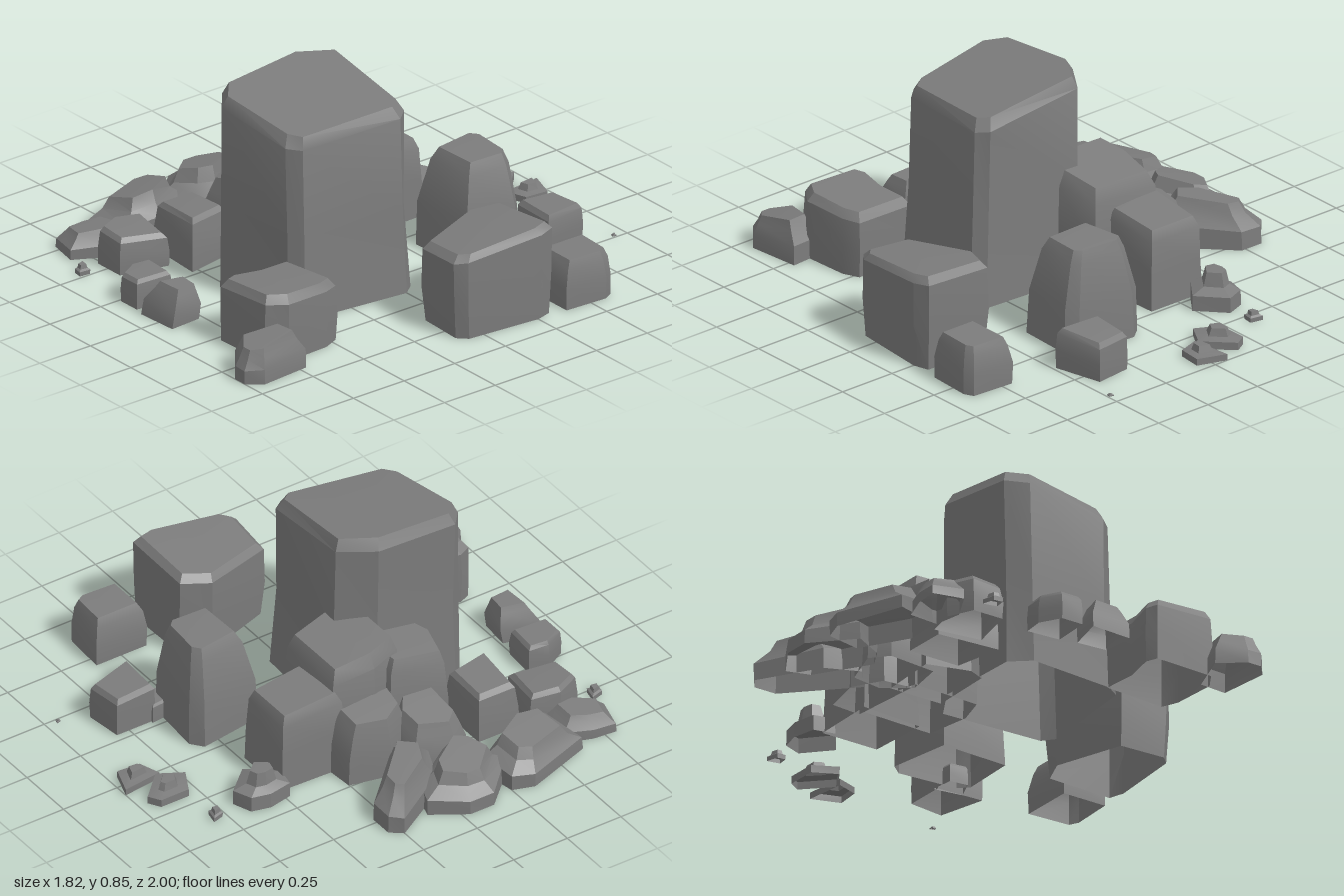
import * as THREE from 'three';
import { toCreasedNormals } from 'three/addons/utils/BufferGeometryUtils.js';

// A rock is a footprint outline lofted upward through four rings and capped.
// outline: clockwise [x, z] corners seen from above
// height at the middle, slope: rise of the top per unit x and z
// base, waist, topScale: ring sizes, shoulder: where the bevel starts (0..1)
function rockGeometry(outline, height, { slope = [0, 0], base = 0.97, waist = 0.99, topScale = 0.82, shoulder = 0.87, lean = [0, 0] } = {}) {
  const n = outline.length;
  const cx = outline.reduce((s, p) => s + p[0], 0) / n;
  const cz = outline.reduce((s, p) => s + p[1], 0) / n;
  const upper = Math.min(waist, topScale + 0.13);
  const levels = [[0, base], [0.45, waist], [shoulder, upper], [1, topScale]];
  const rings = levels.map(([t, s], k) => outline.map(([x, z], i) => {
    const wobble = k === 1 || k === 2 ? 0.015 * Math.sin(i * 2.4 + k * 1.7 + cx * 9) : 0;
    const px = cx + (x - cx) * (s + wobble) + lean[0] * t;
    const pz = cz + (z - cz) * (s + wobble) + lean[1] * t;
    const top = height + slope[0] * (px - cx) + slope[1] * (pz - cz);
    return [px, Math.max(0, top * t), pz];
  }));
  const pos = [];
  const tri = (a, b, c) => pos.push(...a, ...b, ...c);
  for (let k = 0; k < 3; k++) {
    for (let i = 0; i < n; i++) {
      const j = (i + 1) % n;
      const [a, b, c, d] = [rings[k][i], rings[k][j], rings[k + 1][j], rings[k + 1][i]];
      tri(a, d, c);
      tri(a, c, b);
    }
  }
  const peak = [cx + lean[0], height * 1.01, cz + lean[1]];
  for (let i = 0; i < n; i++) tri(peak, rings[3][(i + 1) % n], rings[3][i]);
  const geo = new THREE.BufferGeometry();
  geo.setAttribute('position', new THREE.Float32BufferAttribute(pos, 3));
  return toCreasedNormals(geo, 0.4);
}

export function createModel() {
  const group = new THREE.Group();
  group.name = 'rockPile';
  const stone = new THREE.MeshStandardMaterial({ color: 0x7c7c7c, side: THREE.DoubleSide });
  stone.name = 'grey stone';

  const rock = (name, height, outline, options) => {
    const mesh = new THREE.Mesh(rockGeometry(outline, height, options), stone);
    mesh.name = name;
    group.add(mesh);
  };

  // Central monolith, flared a little at its foot
  rock('monolith', 0.8, [[-0.1, -0.07], [0.35, -0.05], [0.39, 0], [0.34, 0.46], [0.28, 0.5], [-0.1, 0.53], [-0.18, 0.46], [-0.19, 0.08]],
    { slope: [-0.14, -0.08], base: 1, waist: 0.96, topScale: 0.88, shoulder: 0.94, lean: [-0.02, 0] });

  // Large rocks to the left and behind
  rock('leftBoulder', 0.365, [[0.57, -0.32], [0.88, -0.33], [0.9, -0.26], [0.87, 0.08], [0.83, 0.12], [0.62, 0.11], [0.52, -0.2]],
    { slope: [0.07, -0.1], base: 0.94, topScale: 0.87, shoulder: 0.92 });
  rock('leftBackRock', 0.2, [[0.7, -0.62], [0.89, -0.61], [0.91, -0.57], [0.9, -0.38], [0.7, -0.38]], { topScale: 0.75, shoulder: 0.82 });
  rock('backBoulder', 0.415, [[0.08, -0.61], [0.34, -0.59], [0.38, -0.55], [0.37, -0.31], [0.07, -0.3], [0.03, -0.57]],
    { base: 1, topScale: 0.62, shoulder: 0.88, waist: 0.97 });
  rock('backCornerRock', 0.165, [[0.28, -0.81], [0.44, -0.83], [0.49, -0.62], [0.28, -0.63]], { topScale: 0.82, slope: [0, 0.08] });
  rock('backWedge', 0.08, [[0.27, -0.65], [0.4, -0.63], [0.36, -0.54], [0.28, -0.55]]);

  // Front rocks
  rock('frontBoulder', 0.265, [[0.27, 0.49], [0.55, 0.47], [0.58, 0.54], [0.59, 0.74], [0.54, 0.82], [0.27, 0.83], [0.25, 0.78], [0.28, 0.64]],
    { slope: [0.06, 0.04], topScale: 0.84 });
  rock('frontCornerRock', 0.145, [[0.55, 0.73], [0.67, 0.72], [0.69, 0.94], [0.64, 1], [0.58, 1], [0.48, 0.92]],
    { base: 1, topScale: 0.68, shoulder: 0.75, slope: [0, -0.2] });
  rock('frontStoneA', 0.12, [[-0.28, 0.73], [-0.13, 0.74], [-0.14, 0.91], [-0.24, 0.91], [-0.29, 0.82]], { topScale: 0.8 });
  rock('frontStoneB', 0.145, [[-0.06, 0.76], [0.07, 0.77], [0.08, 0.91], [-0.1, 0.92]],
    { base: 1, topScale: 0.58, shoulder: 0.83, lean: [0.01, -0.02] });

  // Stacked rocks leaning on the monolith
  rock('stackTop', 0.465, [[-0.36, -0.24], [-0.03, -0.25], [0, -0.05], [-0.04, 0.08], [-0.35, 0.09], [-0.38, -0.05]],
    { slope: [0.04, 0.17], topScale: 0.8 });
  rock('stackBack', 0.34, [[-0.37, -0.48], [-0.12, -0.48], [-0.11, -0.22], [-0.38, -0.2]], { base: 1.03, topScale: 0.82, slope: [0, 0.1] });
  rock('stackFront', 0.395, [[-0.4, 0], [-0.16, 0], [-0.17, 0.28], [-0.24, 0.31], [-0.42, 0.26]],
    { base: 1, topScale: 0.78, slope: [0.05, -0.15] });
  rock('stackSide', 0.27, [[-0.49, -0.25], [-0.36, -0.26], [-0.34, 0.05], [-0.46, 0.04], [-0.53, -0.08]],
    { base: 1.02, topScale: 0.72, shoulder: 0.8, slope: [0.2, 0] });
  rock('stackFoot', 0.22, [[-0.57, 0], [-0.44, -0.02], [-0.33, 0.06], [-0.36, 0.22], [-0.57, 0.24], [-0.63, 0.17]],
    { base: 1.02, topScale: 0.68, shoulder: 0.78, slope: [0.25, 0] });

  // Low slabs spreading out on the right side
  rock('slabBack', 0.185, [[-0.87, -0.25], [-0.83, -0.3], [-0.73, -0.3], [-0.49, -0.05], [-0.58, 0.06], [-0.72, 0]],
    { base: 1, topScale: 0.56, shoulder: 0.75, slope: [0.13, 0.05] });
  rock('slabMiddle', 0.165, [[-0.82, -0.11], [-0.72, -0.08], [-0.58, 0.14], [-0.63, 0.23], [-0.76, 0.3], [-0.91, 0.14], [-0.91, 0.03]],
    { base: 1, topScale: 0.55, shoulder: 0.68, slope: [0.25, 0] });
  rock('slabFront', 0.155, [[-0.87, 0.25], [-0.72, 0.22], [-0.6, 0.42], [-0.61, 0.58], [-0.8, 0.63], [-0.9, 0.34]],
    { base: 1, topScale: 0.58, shoulder: 0.7, slope: [0.22, -0.1] });
  rock('blockInner', 0.205, [[-0.54, 0.32], [-0.31, 0.32], [-0.27, 0.53], [-0.54, 0.51]], { base: 1, topScale: 0.74, shoulder: 0.9, slope: [0.05, 0] });
  rock('blockOuter', 0.15, [[-0.58, 0.53], [-0.37, 0.56], [-0.42, 0.77], [-0.56, 0.77], [-0.61, 0.66]], { topScale: 0.78, slope: [-0.08, 0.05] });
  rock('cornerSlab', 0.1, [[-0.73, 0.59], [-0.6, 0.58], [-0.58, 0.7], [-0.65, 0.83], [-0.78, 0.8], [-0.77, 0.7]],
    { base: 1, topScale: 0.62, shoulder: 0.78, slope: [0.1, -0.1] });

  // Scattered back stones and pebbles
  rock('rearStone', 0.14, [[-0.42, -0.66], [-0.34, -0.69], [-0.24, -0.58], [-0.33, -0.46], [-0.42, -0.48], [-0.44, -0.58]],
    { base: 1, topScale: 0.4, shoulder: 0.6 });
  rock('rearChipA', 0.07, [[-0.2, -0.93], [-0.15, -0.96], [-0.04, -0.85], [-0.1, -0.75], [-0.2, -0.8]], { base: 1, topScale: 0.35, shoulder: 0.55 });
  rock('rearChipB', 0.06, [[-0.06, -1], [0.06, -0.96], [0.05, -0.86], [-0.04, -0.83]], { base: 1, topScale: 0.35, shoulder: 0.55 });
  for (const [x, z, r, h] of [[-0.37, -0.79, 0.028, 0.04], [0.485, -0.945, 0.01, 0.01], [-0.535, 0.865, 0.03, 0.04]]) {
    rock('pebble', h, [[x - r, z - r], [x + r, z - r * 0.6], [x + r * 0.8, z + r], [x - r * 0.5, z + r * 0.8]], { topScale: 0.5, shoulder: 0.6 });
  }
  return group;
}
